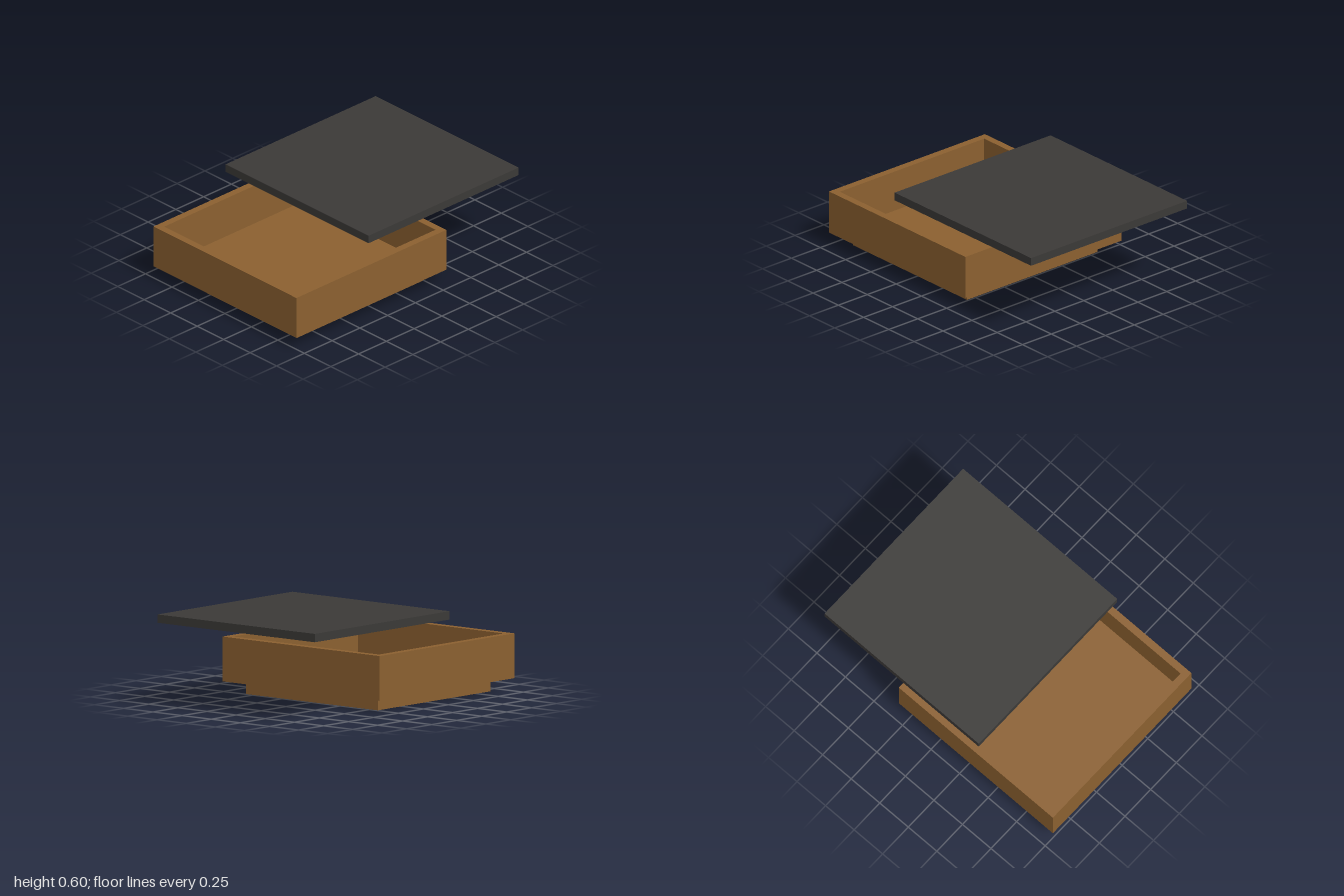
import * as THREE from 'three';

const wood = new THREE.MeshStandardMaterial({ color: 0x8b6030 });
const dark = new THREE.MeshStandardMaterial({ color: 0x3b3937 });

// Square outline of side s, centred on the origin
function square(s, Type) {
  const h = s / 2;
  return new Type([[-h, -h], [h, -h], [h, h], [-h, h]].map(([x, y]) => new THREE.Vector2(x, y)));
}

// Square frame standing on y0, open at top and bottom
function frame(name, size, wall, y0, y1) {
  const shape = square(size, THREE.Shape);
  shape.holes.push(square(size - 2 * wall, THREE.Path));
  const geometry = new THREE.ExtrudeGeometry(shape, { depth: y1 - y0, bevelEnabled: false });
  geometry.rotateX(-Math.PI / 2);
  const mesh = new THREE.Mesh(geometry, wood);
  mesh.name = name;
  mesh.position.y = y0;
  return mesh;
}

// Flat square plate between two heights
function plate(name, size, y0, y1, material) {
  const mesh = new THREE.Mesh(new THREE.BoxGeometry(size, y1 - y0, size), material);
  mesh.name = name;
  mesh.position.y = (y0 + y1) / 2;
  return mesh;
}

export function createModel() {
  const model = new THREE.Group();
  model.name = 'openBox';

  // Open tray on a smaller hollow plinth
  const box = new THREE.Group();
  box.name = 'box';
  box.position.x = -0.325;
  box.add(
    frame('plinth', 1.13, 0.05, 0, 0.085),
    frame('boxWalls', 1.35, 0.05, 0.085, 0.38),
    plate('boxFloor', 1.25, 0.085, 0.1, wood),
  );

  // Lid floating above, slid to the side
  const lid = plate('lid', 1.35, 0.543, 0.598, dark);
  lid.position.x = 0.325;

  model.add(box, lid);
  return model;
}
